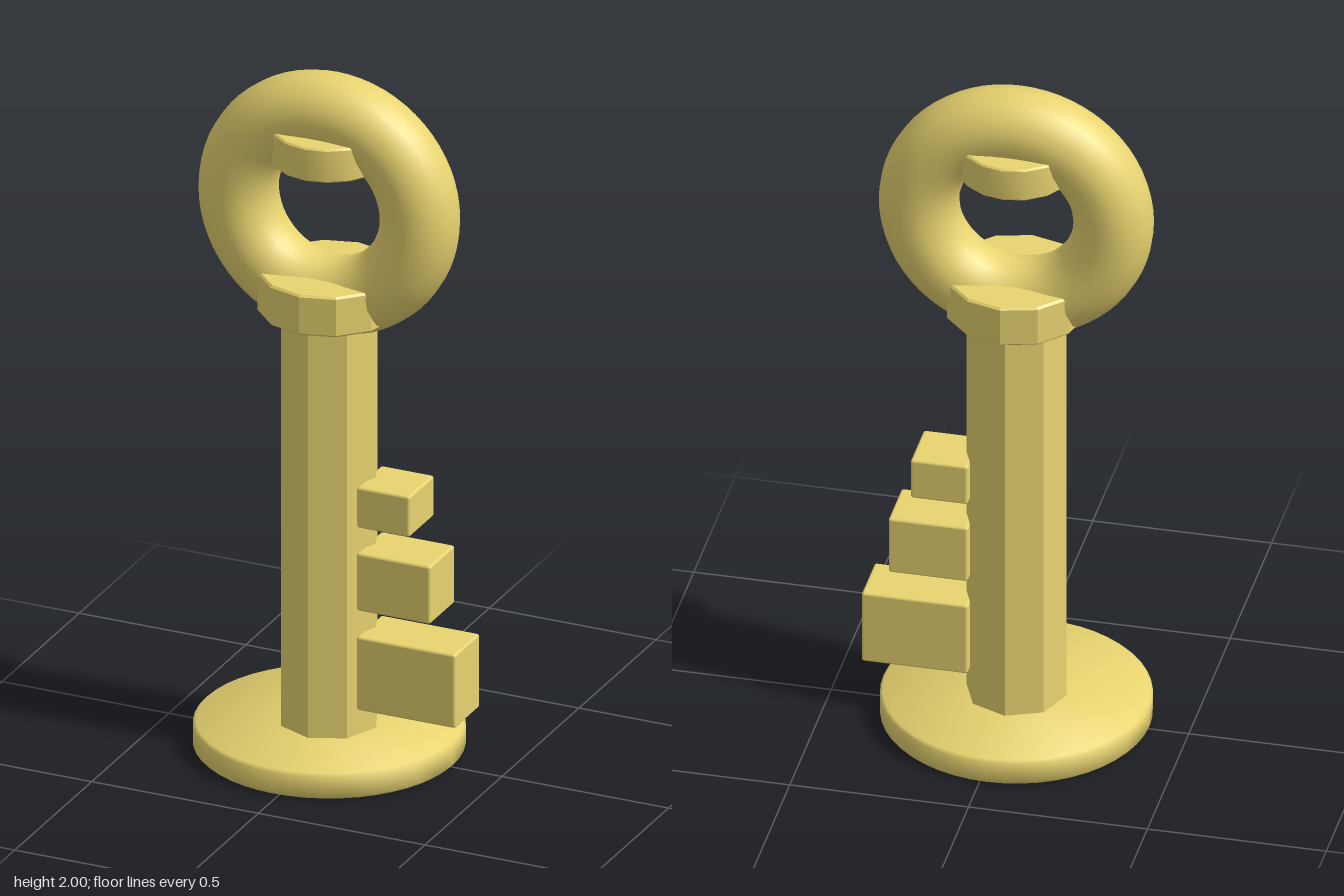
import * as THREE from 'three';
import { toCreasedNormals } from 'three/addons/utils/BufferGeometryUtils.js';
import { RoundedBoxGeometry } from 'three/addons/geometries/RoundedBoxGeometry.js';

const AXIS_X = -0.018; // the shaft sits slightly off centre because the teeth stick out

export function createModel() {
  const group = new THREE.Group();
  const gold = new THREE.MeshStandardMaterial({ color: 0xe8d470 });

  function add(name, geometry, x, y) {
    const mesh = new THREE.Mesh(geometry, gold);
    mesh.name = name;
    mesh.position.set(x, y, 0);
    group.add(mesh);
  }

  // Solid prism with a small bevel around its top and bottom rims
  function prism(name, radius, bottom, top, sides, bevel, crease) {
    const profile = [
      [0, bottom], [radius - bevel, bottom], [radius, bottom + bevel],
      [radius, top - bevel], [radius - bevel, top], [0, top],
    ].map(([r, y]) => new THREE.Vector2(r, y));
    add(name, toCreasedNormals(new THREE.LatheGeometry(profile, sides), crease), AXIS_X, 0);
  }

  // Base disc, shaft, collar under the ring and stub inside the ring's top
  prism('base', 0.372, 0, 0.075, 48, 0.008, 0.9);
  prism('shaft', 0.14, 0.05, 1.32, 8, 0.006, 0.3);
  prism('collar', 0.197, 1.3, 1.42, 12, 0.006, 0.3);
  prism('ringStub', 0.16, 1.745, 1.845, 16, 0.005, 0.5);

  // Ring handle
  add('ringHandle', new THREE.TorusGeometry(0.272, 0.11, 24, 64), AXIS_X, 1.618);

  // Teeth on the left side, longest at the bottom: [outer x, bottom, top]
  const root = 0.1;
  [[0.397, 0.155, 0.375], [0.322, 0.452, 0.625], [0.26, 0.7, 0.822]].forEach(([end, low, high], i) => {
    const tooth = new RoundedBoxGeometry(end - root, high - low, 0.162, 2, 0.008);
    add('tooth' + (i + 1), tooth, (root + end) / 2, (low + high) / 2);
  });

  return group;
}
